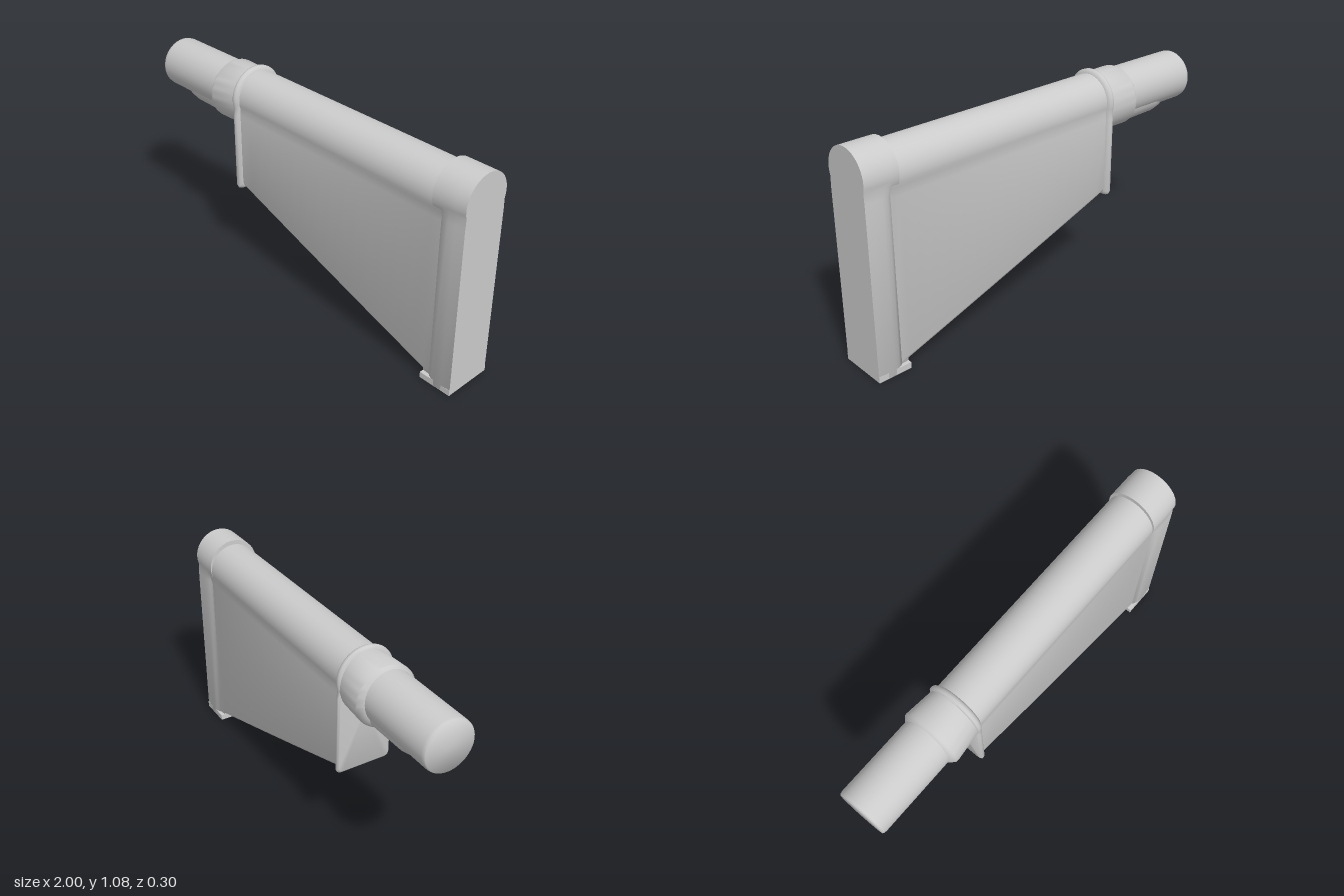
import * as THREE from 'three';
import { toCreasedNormals } from 'three/addons/utils/BufferGeometryUtils.js';

const material = new THREE.MeshStandardMaterial({ color: 0xcccccc });

// Closed arch outline as [z, y]: bevelled foot, straight side, round head
function archSection({ top, bottom, r, w, waist, bevel }) {
  const half = [[w - bevel, bottom], [w - bevel * 0.3, bottom + bevel * 0.3], [w, bottom + bevel], [w, waist]];
  const cy = top - r;
  for (let i = 0; i <= 12; i++) {
    const a = THREE.MathUtils.degToRad(-18 + 108 * i / 12);
    half.push([r * Math.cos(a), cy + r * Math.sin(a)]);
  }
  half[half.length - 1][0] = 0;
  return [...half, ...half.slice(0, -1).reverse().map(([z, y]) => [-z, y])];
}

// Elliptical outline as [z, y], same direction as the arch
function ovalSection({ cy, rz, ry, n = 40 }) {
  return Array.from({ length: n }, (_, i) => {
    const a = 2 * Math.PI * i / n;
    return [rz * Math.cos(a), cy + ry * Math.sin(a)];
  });
}

// Skin outlines placed along x, with closed ends
function loft(name, xs, sections) {
  const pos = [], index = [], n = sections[0].length, last = xs.length - 1;
  sections.forEach((s, i) => s.forEach(([z, y]) => pos.push(xs[i], y, z)));
  for (let i = 0; i < last; i++) {
    for (let j = 0; j < n; j++) {
      const k = (j + 1) % n;
      const a = i * n + j, b = a + n, c = i * n + k, d = c + n;
      index.push(a, b, d, a, d, c);
    }
  }
  for (const i of [0, last]) {
    const ys = sections[i].map(p => p[1]);
    const centre = pos.length / 3;
    pos.push(xs[i], (Math.min(...ys) + Math.max(...ys)) / 2, 0);
    for (let j = 0; j < n; j++) {
      const a = i * n + j, b = i * n + (j + 1) % n;
      index.push(centre, ...(i ? [b, a] : [a, b]));
    }
  }
  const g = new THREE.BufferGeometry();
  g.setAttribute('position', new THREE.Float32BufferAttribute(pos, 3));
  g.setIndex(index);
  const mesh = new THREE.Mesh(toCreasedNormals(g, 1.1), material);
  mesh.name = name;
  return mesh;
}

export function createModel() {
  const group = new THREE.Group();
  group.name = 'shoulderStock';

  // Wedge body: round comb on top, side panels drawn in slightly towards the butt
  const xs = [], body = [];
  for (let i = 0; i <= 16; i++) {
    const t = i / 16;
    xs.push(-0.4 + 1.3 * t);
    body.push(archSection({
      top: 1.06 - 0.008 * t, bottom: 0.475 - 0.465 * t, r: 0.125,
      w: 0.121 - 0.014 * t * t, waist: 0.86 - 0.02 * t, bevel: 0.02,
    }));
  }
  group.add(loft('stockBody', xs, body));

  // Butt pad: rounded bead on the sides, full round head
  const pad = [[0.83, 0.104], [0.865, 0.106], [0.875, 0.114], [0.89, 0.122], [0.915, 0.126], [0.95, 0.125], [1, 0.123]];
  group.add(loft('buttPad', pad.map(p => p[0]), pad.map(([x, w]) => archSection({
    top: 1.075, bottom: 0, r: x === 1 ? 0.127 : 0.13, w, waist: 0.86, bevel: 0.003,
  }))));

  // Foot plate under the pad
  const foot = new THREE.Mesh(new THREE.BoxGeometry(0.17, 0.03, 0.25), material);
  foot.name = 'buttFoot';
  foot.position.set(0.915, 0.015, 0);
  group.add(foot);

  // Collar between body and tube, sloping into the body
  const collar = [[-0.42, 0.008], [-0.414, 0.001], [-0.404, 0], [-0.394, 0.005], [-0.385, 0.018]];
  group.add(loft('collar', collar.map(c => c[0]), collar.map(([x, d]) => archSection({
    top: 1.08 - d, bottom: 0.457 + d - (x + 0.42) * 0.3, r: 0.143 - d, w: 0.14 - d, waist: 0.86, bevel: 0.02,
  }))));

  // Tube with a softened end
  const tube = [[-1, 0.119], [-0.994, 0.123], [-0.98, 0.125], [-0.5, 0.125]];
  group.add(loft('tube', tube.map(t => t[0]),
    tube.map(([, r]) => ovalSection({ cy: 0.925, rz: r, ry: r }))));

  // Flared sleeve, widest at its outer end
  const sleeve = [[-0.595, 0.124, 0.125], [-0.57, 0.149, 0.146], [-0.56, 0.15, 0.149], [-0.41, 0.134, 0.151]];
  group.add(loft('sleeve', sleeve.map(s => s[0]),
    sleeve.map(([, rz, ry]) => ovalSection({ cy: 0.914, rz, ry }))));

  // Rounded rail swelling out below the tube, with a sloped nose
  const rail = [[-0.88, 0.07, 0.065], [-0.84, 0.09, 0.09], [-0.79, 0.1, 0.1], [-0.41, 0.102, 0.108]];
  group.add(loft('lowerRail', rail.map(r => r[0]),
    rail.map(([, rz, ry]) => ovalSection({ cy: 0.87, rz, ry }))));

  return group;
}
